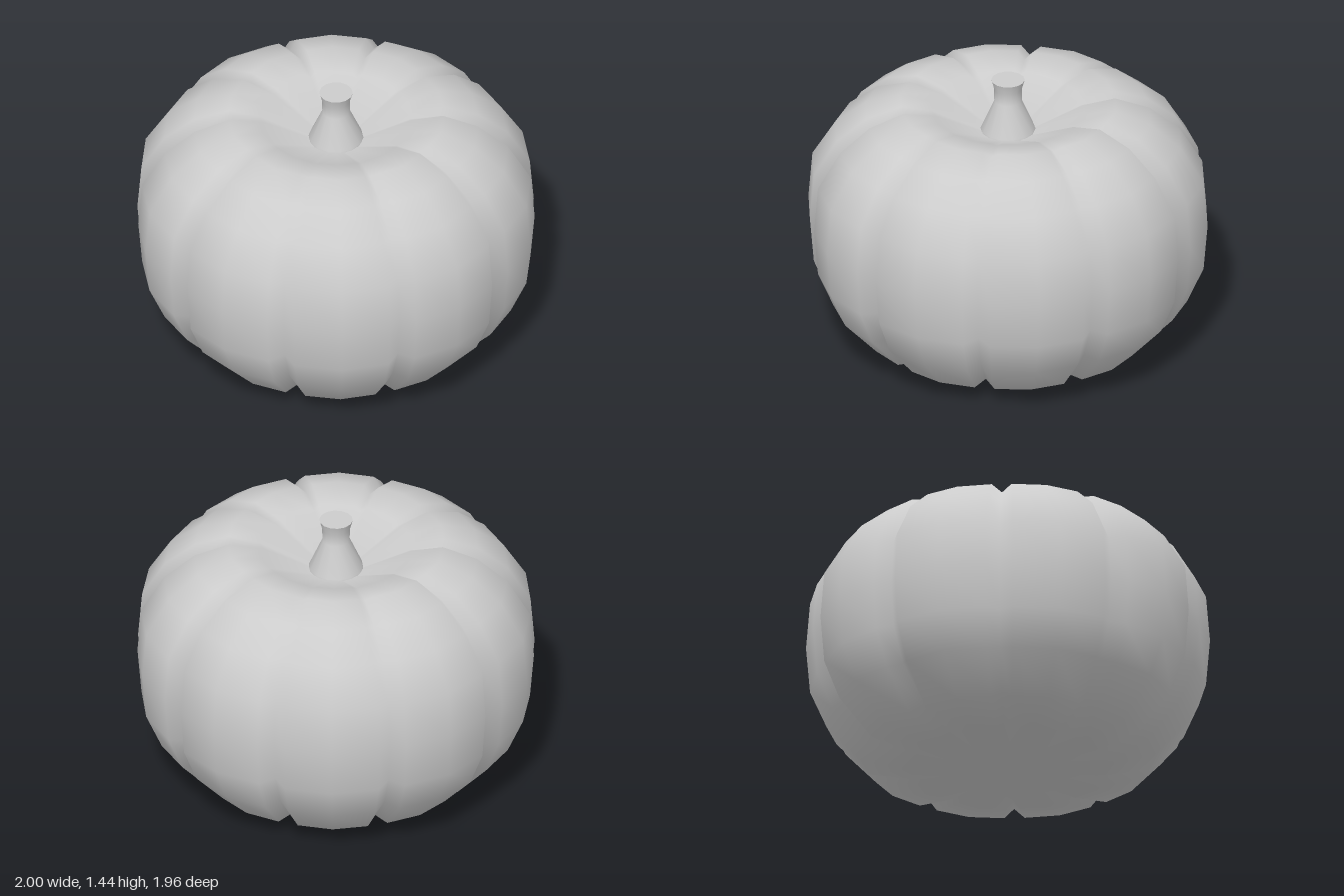
import * as THREE from 'three';
import { mergeVertices } from 'three/addons/utils/BufferGeometryUtils.js';

const material = new THREE.MeshStandardMaterial({ color: 0xcccccc });
const toPoints = (list) => list.map(([r, y]) => new THREE.Vector2(r, y));

// Lathe with welded seam and smooth normals
function weld(geometry) {
  geometry.deleteAttribute('uv');
  geometry.deleteAttribute('normal');
  const welded = mergeVertices(geometry, 1e-4);
  welded.computeVertexNormals();
  return welded;
}

// Ribbed body: ten lobes, each spanning groove, shoulder, crown, shoulder
function bodyGeometry() {
  const profile = toPoints([
    [0, 0], [0.49, 0.03], [0.73, 0.087], [0.9, 0.273], [0.98, 0.46], [1, 0.7],
    [0.98, 0.94], [0.865, 1.128], [0.714, 1.25], [0.54, 1.31], [0.38, 1.28], [0, 1.1],
  ]);
  const lobes = 10, midY = 0.7;
  const steps = [
    { angle: 0, r: 0.925, y: 0.95 },
    { angle: 4, r: 0.983, y: 1 },
    { angle: 18, r: 1, y: 1 },
    { angle: 32, r: 0.983, y: 1 },
  ];
  const geometry = new THREE.LatheGeometry(profile, lobes * 4);
  const pos = geometry.attributes.position;
  for (let i = 0; i <= lobes * 4; i++) {
    const step = steps[i % 4];
    const lobe = Math.floor(i / 4) % lobes;
    const a = THREE.MathUtils.degToRad(lobe * 36 + step.angle);
    profile.forEach((p, j) => {
      // grooves fade out towards the dimple and vanish at the poles
      const depth = p.x === 0 ? 0 : j === profile.length - 2 ? 0.5 : 1;
      const r = p.x * THREE.MathUtils.lerp(1, step.r, depth);
      const y = midY + (p.y - midY) * THREE.MathUtils.lerp(1, step.y, depth);
      pos.setXYZ(i * profile.length + j, r * Math.sin(a), y, r * Math.cos(a));
    });
  }
  return weld(geometry);
}

export function createModel() {
  const model = new THREE.Group();
  model.name = 'pumpkin';
  const add = (name, geometry) => {
    const mesh = new THREE.Mesh(geometry, material);
    mesh.name = name;
    model.add(mesh);
    return mesh;
  };

  add('body', bodyGeometry());

  // Flared stem rising out of the dimple
  const sides = 14;
  const stem = toPoints([[0.137, 1.15], [0.135, 1.17], [0.068, 1.325], [0.069, 1.39], [0.083, 1.44]]);
  add('stem', weld(new THREE.LatheGeometry(stem, sides)));

  // Flat cut end of the stem
  const cap = new THREE.CircleGeometry(0.083, sides, Math.PI / 2);
  cap.rotateX(-Math.PI / 2).rotateY(Math.PI);
  add('stemTop', cap).position.y = 1.44;

  return model;
}
